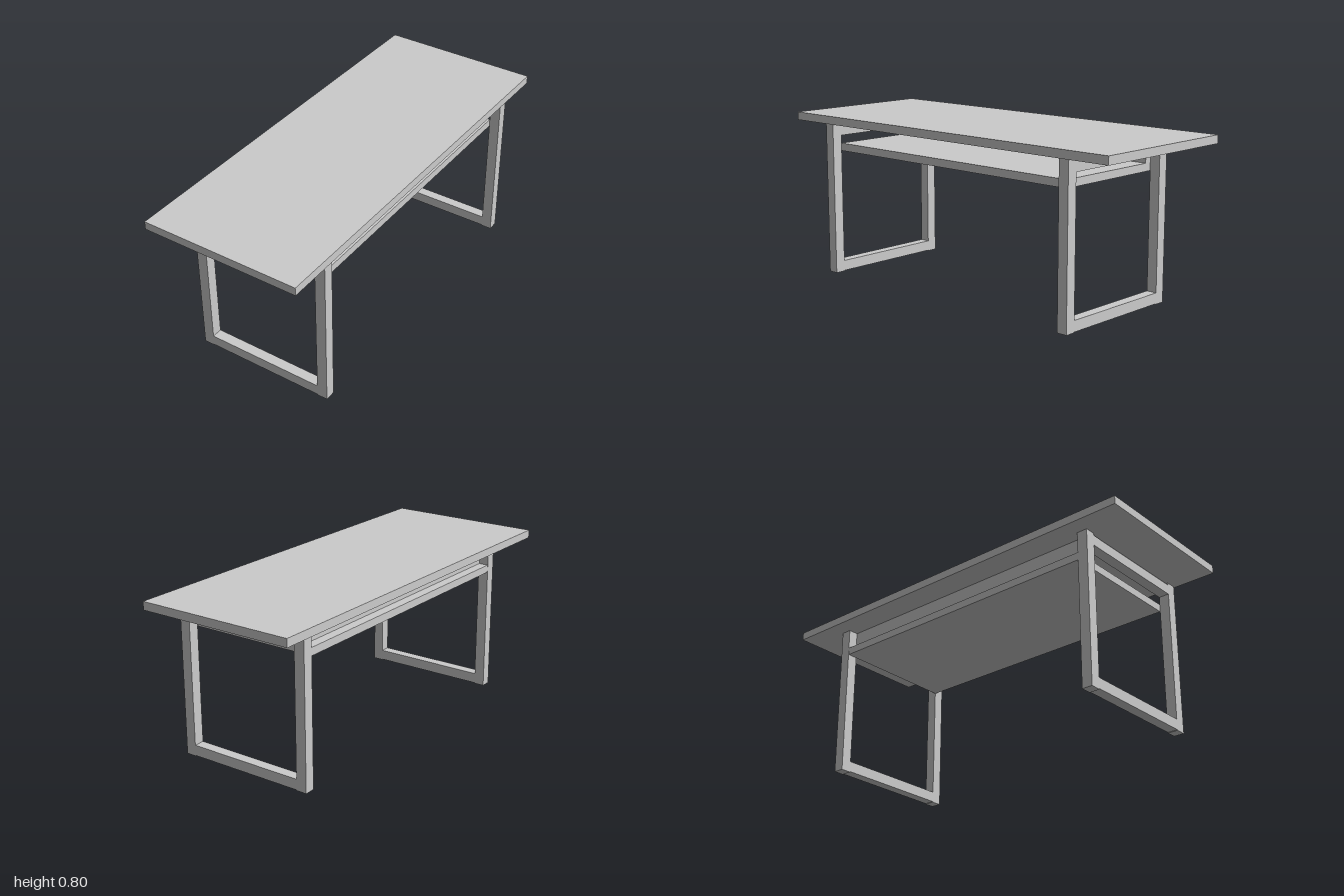
import * as THREE from 'three';

export function createModel() {
  const group = new THREE.Group();
  const material = new THREE.MeshStandardMaterial({ color: 0xcccccc, flatShading: true });

  // Box given by its lower and upper limits on each axis
  const box = (name, [x0, x1], [y0, y1], [z0, z1], parent = group) => {
    const mesh = new THREE.Mesh(new THREE.BoxGeometry(x1 - x0, y1 - y0, z1 - z0), material);
    mesh.position.set((x0 + x1) / 2, (y0 + y1) / 2, (z0 + z1) / 2);
    mesh.name = name;
    parent.add(mesh);
  };

  box('tableTop', [-0.395, 0.395], [0.76, 0.8], [-1, 1]);

  // Two end frames: a pair of posts joined by an upper rail and a floor rail
  for (const [name, z] of [['frontFrame', [0.733, 0.785]], ['backFrame', [-0.785, -0.733]]]) {
    const frame = new THREE.Group();
    frame.name = name;
    box('rightLeg', [-0.31, -0.257], [0, 0.76], z, frame);
    box('leftLeg', [0.335, 0.387], [0, 0.76], z, frame);
    box('upperRail', [-0.257, 0.335], [0.7, 0.75], z, frame);
    box('floorRail', [-0.257, 0.335], [0.003, 0.055], z, frame);
    group.add(frame);
  }

  // Shelf under the top, with an upright panel closing one side
  box('shelf', [-0.308, 0.335], [0.623, 0.661], [-0.733, 0.733]);
  box('shelfBackPanel', [-0.26, -0.222], [0.661, 0.76], [-0.733, 0.733]);

  return group;
}
